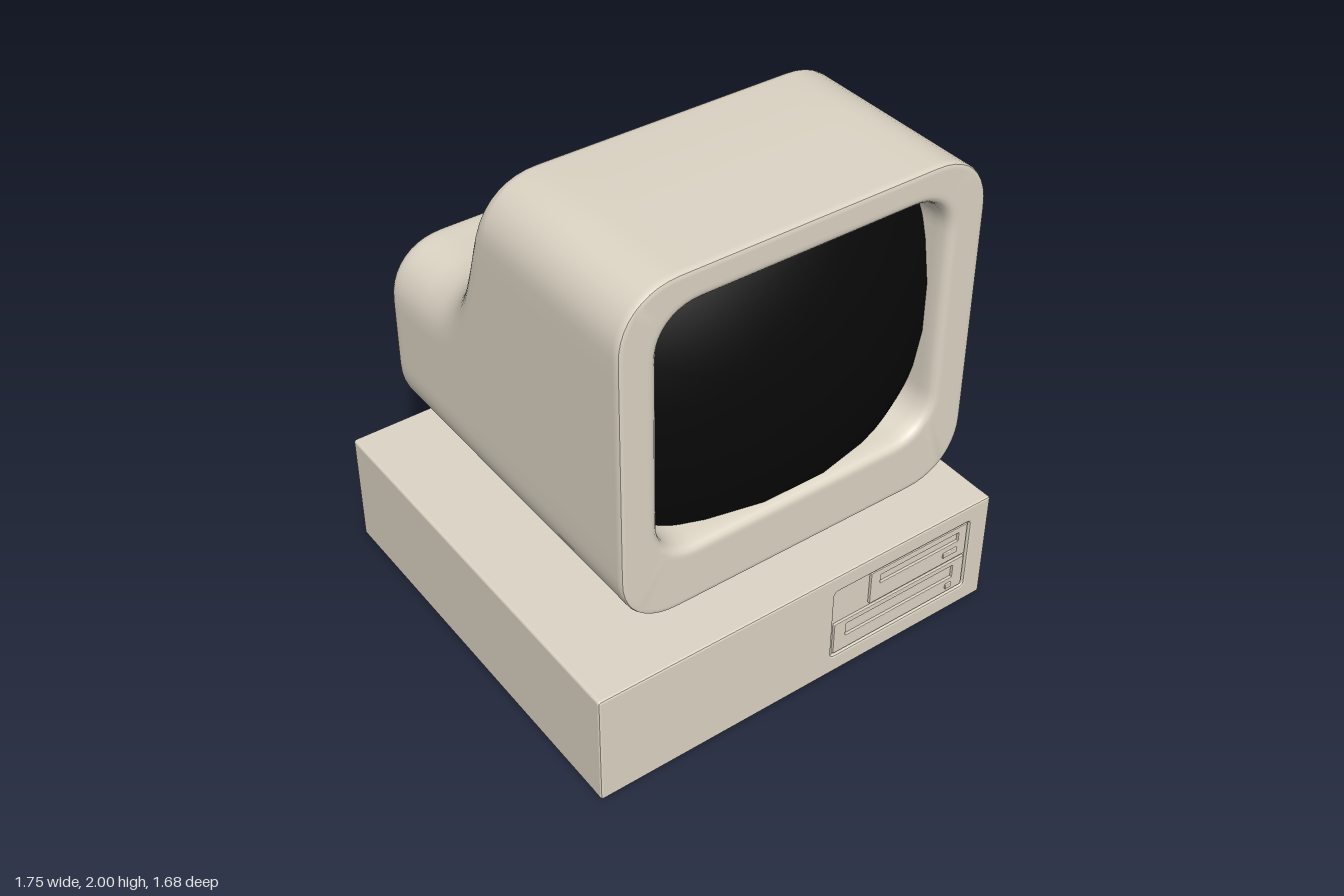
import * as THREE from 'three';
import { toCreasedNormals } from 'three/addons/utils/BufferGeometryUtils.js';
import { RoundedBoxGeometry } from 'three/addons/geometries/RoundedBoxGeometry.js';

const beige = new THREE.MeshStandardMaterial({ color: 0xddd5c5 });
const beigeThin = new THREE.MeshStandardMaterial({ color: 0xddd5c5, side: THREE.DoubleSide });
const black = new THREE.MeshStandardMaterial({ color: 0x080808 });

function add(parent, name, geometry, material = beige) {
  const mesh = new THREE.Mesh(geometry, material);
  mesh.name = name;
  parent.add(mesh);
  return mesh;
}

// Rounded rectangle section at depth z, counter-clockwise seen from the front
function section(hx, y0, y1, radius, z) {
  const r = Math.min(radius, hx * 0.9, (y1 - y0) * 0.45);
  const corners = [[hx - r, y0 + r, -1], [hx - r, y1 - r, 0], [r - hx, y1 - r, 1], [r - hx, y0 + r, 2]];
  const arcs = corners.map(([cx, cy, quarter]) => Array.from({ length: 11 }, (_, i) => {
    const a = (quarter + i / 10) * Math.PI / 2, c = Math.cos(a), s = Math.sin(a);
    const soft = (v) => Math.sign(v) * Math.pow(Math.abs(v), 2 / 2.2);
    return new THREE.Vector3(cx + r * soft(c), cy + r * soft(s), z);
  }));
  // Straight runs between the corners are subdivided
  return arcs.flatMap((arc, k) => {
    const next = arcs[(k + 1) % 4][0], last = arc[10];
    return [...arc, ...[0.1, 0.35, 0.65, 0.9].map((t) => last.clone().lerp(next, t))];
  });
}

// Skin through a list of equal-length closed rings
function loft(rings, crease = 0.6) {
  const n = rings[0].length, index = [];
  for (let i = 0; i < rings.length - 1; i++) {
    for (let j = 0; j < n; j++) {
      const a = i * n + j, b = i * n + (j + 1) % n;
      index.push(a, a + n, b, b, a + n, b + n);
    }
  }
  const g = new THREE.BufferGeometry().setFromPoints(rings.flat());
  g.setIndex(index);
  return toCreasedNormals(g, crease);
}

function roundRect(target, x0, x1, y0, y1, r) {
  target.moveTo(x0 + r, y0);
  target.lineTo(x1 - r, y0).quadraticCurveTo(x1, y0, x1, y0 + r);
  target.lineTo(x1, y1 - r).quadraticCurveTo(x1, y1, x1 - r, y1);
  target.lineTo(x0 + r, y1).quadraticCurveTo(x0, y1, x0, y1 - r);
  target.lineTo(x0, y0 + r).quadraticCurveTo(x0, y0, x0 + r, y0);
  return target;
}

// Bevelled plate with one window, its front face at zFront
function plate(outer, window, depth, bevel, zFront) {
  const shape = roundRect(new THREE.Shape(), ...outer);
  shape.holes.push(roundRect(new THREE.Path(), ...window));
  const g = new THREE.ExtrudeGeometry(shape, {
    depth, bevelThickness: bevel, bevelSize: bevel, bevelOffset: -bevel, bevelSegments: 2, curveSegments: 6,
  });
  return g.translate(0, 0, zFront - depth - bevel);
}

function monitorShell() {
  const front = 0.765, bottom = 0.66, hx = 0.73, r = 0.23;
  const rings = [];
  // Screen recess, from the inside out to the front face
  for (const [z, grow] of [[0.54, 0], [0.7, 0.008], [0.735, 0.012], [0.752, 0.019], [0.762, 0.03], [front, 0.042], [front, 0.055]]) {
    rings.push(section(0.57 + grow, 0.91 - grow, 1.865 + grow, 0.15 + grow, z));
  }
  // Narrow front edge
  for (const [z, inset] of [[front, 0.022], [front, 0.012], [front - 0.003, 0.004], [front - 0.012, 0], [front - 0.03, 0], [0.4, 0]]) {
    rings.push(section(hx - inset, bottom + inset, 2 - inset, r - inset, z));
  }
  // Top line drops in a smooth slope to the lower rear
  const slope = new THREE.CatmullRomCurve3([
    [0.03, 2], [0, 1.995], [-0.03, 1.965], [-0.06, 1.89], [-0.1, 1.765], [-0.15, 1.635], [-0.2, 1.545],
    [-0.26, 1.475], [-0.33, 1.43], [-0.42, 1.407], [-0.52, 1.4], [-0.65, 1.398],
  ].map(([z, y]) => new THREE.Vector3(0, y, z)));
  for (const p of slope.getPoints(48)) rings.push(section(hx, bottom, p.y, r, p.z));
  // Rounded rear edge and back face
  for (let i = 1; i <= 6; i++) {
    const a = i / 6 * Math.PI / 2, inset = 0.05 * (1 - Math.cos(a));
    rings.push(section(hx - inset, bottom + inset, 1.398 - inset, r - inset, -0.65 - 0.05 * Math.sin(a)));
  }
  rings.push(section(0.66, 0.73, 1.33, 0.17, -0.7), section(0.001, 1.029, 1.031, 0.001, -0.7));
  return loft(rings);
}

// Spherical screen face trimmed to the opening
function screenGlass() {
  const R = 1.22, cy = 1.387, rings = [];
  for (let i = 0; i <= 14; i++) {
    const s = Math.max(i / 14, 0.001);
    const ring = section(0.575 * s, cy - 0.482 * s, cy + 0.482 * s, 0.15 * s, 0);
    for (const p of ring) p.z = 0.84 - R + Math.sqrt(R * R - p.x * p.x - (p.y - cy) ** 2);
    rings.push(ring);
  }
  return loft(rings);
}

export function createModel() {
  const model = new THREE.Group();
  model.name = 'desktopComputer';

  // Computer case: main box and front fascia with the drive bay recess
  const unit = new THREE.Group();
  unit.name = 'computerCase';
  model.add(unit);
  add(unit, 'caseBody', new RoundedBoxGeometry(1.75, 0.48, 1.655, 3, 0.012)).position.set(0, 0.24, -0.0125);
  add(unit, 'caseFascia', plate([-0.875, 0.875, 0, 0.48, 0.012], [0.135, 0.785, 0.08, 0.405, 0.02], 0.04, 0.009, 0.83));

  // Floppy drives: bezel with slot, and eject button
  const drives = [
    ['upperDrive', [0.31, 0.775, 0.25, 0.398, 0.004], [0.355, 0.735, 0.33, 0.37, 0.002], [0.695, 0.295, 0.07, 0.022]],
    ['lowerDrive', [0.148, 0.775, 0.09, 0.235, 0.004], [0.203, 0.723, 0.153, 0.212, 0.002], [0.705, 0.122, 0.03, 0.022]],
  ];
  for (const [name, bezel, slot, [x, y, w, h]] of drives) {
    const drive = new THREE.Group();
    drive.name = name;
    unit.add(drive);
    add(drive, 'driveBezel', plate(bezel, slot, 0.012, 0.003, 0.826));
    add(drive, 'ejectButton', new RoundedBoxGeometry(w, h, 0.012, 2, 0.003)).position.set(x, y, 0.826);
  }

  // Swivel stand: grooved foot and flared neck
  const profile = [
    [0.48, 0.475], [0.49, 0.478], [0.49, 0.49], [0.475, 0.492], [0.475, 0.498], [0.49, 0.5], [0.49, 0.511],
    [0.43, 0.535], [0.38, 0.565], [0.34, 0.598], [0.305, 0.633], [0.28, 0.665], [0.27, 0.7],
  ].map(([x, y]) => new THREE.Vector2(x, y));
  add(model, 'swivelStand', toCreasedNormals(new THREE.LatheGeometry(profile, 32), 0.6), beigeThin);

  // Monitor
  const monitor = new THREE.Group();
  monitor.name = 'monitor';
  model.add(monitor);
  add(monitor, 'monitorShell', monitorShell());
  add(monitor, 'screen', screenGlass(), black);

  return model;
}
